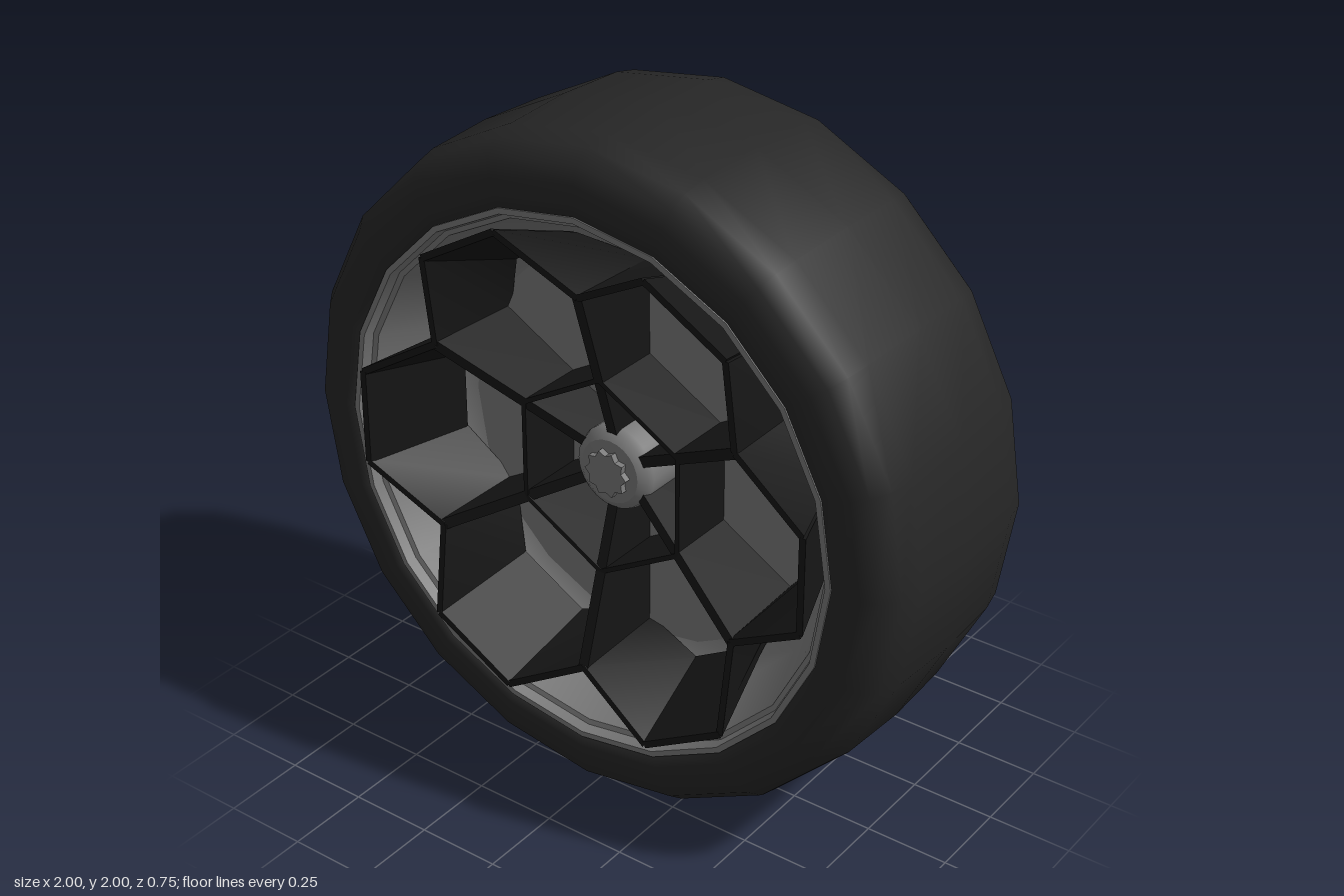
import * as THREE from 'three';

const SIDES = 20;
const rubber = new THREE.MeshStandardMaterial({ color: 0x262626 });
const black = new THREE.MeshStandardMaterial({ color: 0x161616 });
const metal = new THREE.MeshStandardMaterial({ color: 0x7a7a7a });

// Lathe around z from [radius, z] pairs; a repeated pair makes a sharp edge
function turned(name, profile, material, sides = SIDES) {
  const geo = new THREE.LatheGeometry(profile.map(([r, z]) => new THREE.Vector2(r, z)), sides);
  geo.rotateX(Math.PI / 2);
  const mesh = new THREE.Mesh(geo, material);
  mesh.name = name;
  return mesh;
}

// Upright wall between two posts, each { front: [x, y, z], back: [x, y, z] }
function wall(name, a, b, width) {
  const geo = new THREE.BoxGeometry(1, 1, 1);
  const pos = geo.attributes.position;
  const dx = b.front[0] - a.front[0], dy = b.front[1] - a.front[1];
  const len = Math.hypot(dx, dy);
  for (let i = 0; i < pos.count; i++) {
    const post = pos.getX(i) < 0 ? a : b;
    const [x, y, z] = pos.getZ(i) > 0 ? post.front : post.back;
    const off = pos.getY(i) * width;
    pos.setXYZ(i, x - (dy / len) * off, y + (dx / len) * off, z);
  }
  geo.computeVertexNormals();
  const mesh = new THREE.Mesh(geo, black);
  mesh.name = name;
  return mesh;
}

// Post at a polar position, its back end drawn in towards the axle
function post(radius, angle, frontZ, backScale = 1, backZ = 0.03) {
  const x = radius * Math.cos(angle), y = radius * Math.sin(angle);
  return { front: [x, y, frontZ], back: [x * backScale, y * backScale, backZ] };
}

export function createModel() {
  const model = new THREE.Group();
  const wheel = new THREE.Group();
  wheel.name = 'wheel';
  wheel.position.y = 1;
  model.add(wheel);

  // Tyre: rounded shoulders, slightly crowned tread, open well at the back
  wheel.add(turned('tyre', [
    [0.78, -0.04], [0.78, -0.32], [0.80, -0.36], [0.84, -0.375], [0.89, -0.373],
    [0.94, -0.355], [0.975, -0.31], [0.99, -0.24], [1, -0.015], [0.99, 0.21],
    [0.975, 0.28], [0.94, 0.325], [0.89, 0.343], [0.84, 0.345], [0.80, 0.34], [0.795, 0.30],
  ], rubber));

  // Rim: narrow lip, sloping barrel and shallow dish
  wheel.add(turned('rim', [
    [0.805, 0.31], [0.805, 0.345], [0.805, 0.345], [0.788, 0.345], [0.788, 0.345],
    [0.78, 0.315], [0.78, 0.315], [0.765, 0.31], [0.765, 0.31],
    [0.69, 0.12], [0.65, 0.07], [0.60, 0.045], [0.60, 0.045], [0, 0.04],
  ], metal));
  wheel.add(turned('backPlate', [[0, -0.03], [0.785, -0.03]], metal));

  // Honeycomb spokes: six cells around a small central hexagon
  const spokes = new THREE.Group();
  spokes.name = 'honeycombSpokes';
  wheel.add(spokes);
  const step = Math.PI / 3;
  const tilt = Math.atan2(0.145, 0.735);
  for (let k = 0; k < 6; k++) {
    const mid = k * step;
    const joint = (s) => post(0.575, mid + s * step / 2, 0.335, 0.98);
    const inner = (s) => post(0.3, mid + s * step / 2, 0.25);
    const corner = (s) => post(0.75, mid + s * tilt, 0.375, 0.85, 0.08);
    const hubEnd = post(0.04, mid + step / 2, 0.17);
    spokes.add(
      wall('spokeInner', hubEnd, inner(1), 0.032),
      wall('spokeOuter', inner(1), joint(1), 0.032),
      wall('centreCellWall', inner(-1), inner(1), 0.014),
      wall('cellSideWall', joint(-1), corner(-1), 0.02),
      wall('cellOuterWall', corner(-1), corner(1), 0.02),
      wall('cellSideWall', corner(1), joint(1), 0.02),
    );
  }

  // Hub cap with a toothed nut
  wheel.add(turned('hubCap', [
    [0.125, 0.04], [0.125, 0.17], [0.118, 0.19], [0.095, 0.205], [0.095, 0.205], [0, 0.21],
  ], metal, 24));
  const star = new THREE.Shape();
  for (let i = 0; i < 20; i++) {
    const r = i % 2 ? 0.056 : 0.07, a = (i / 20) * Math.PI * 2;
    star[i ? 'lineTo' : 'moveTo'](r * Math.cos(a), r * Math.sin(a));
  }
  star.closePath();
  const nut = new THREE.Mesh(
    new THREE.ExtrudeGeometry(star, { depth: 0.025, bevelEnabled: false }), metal);
  nut.name = 'hubNut';
  nut.position.z = 0.2;
  wheel.add(nut);

  return model;
}
